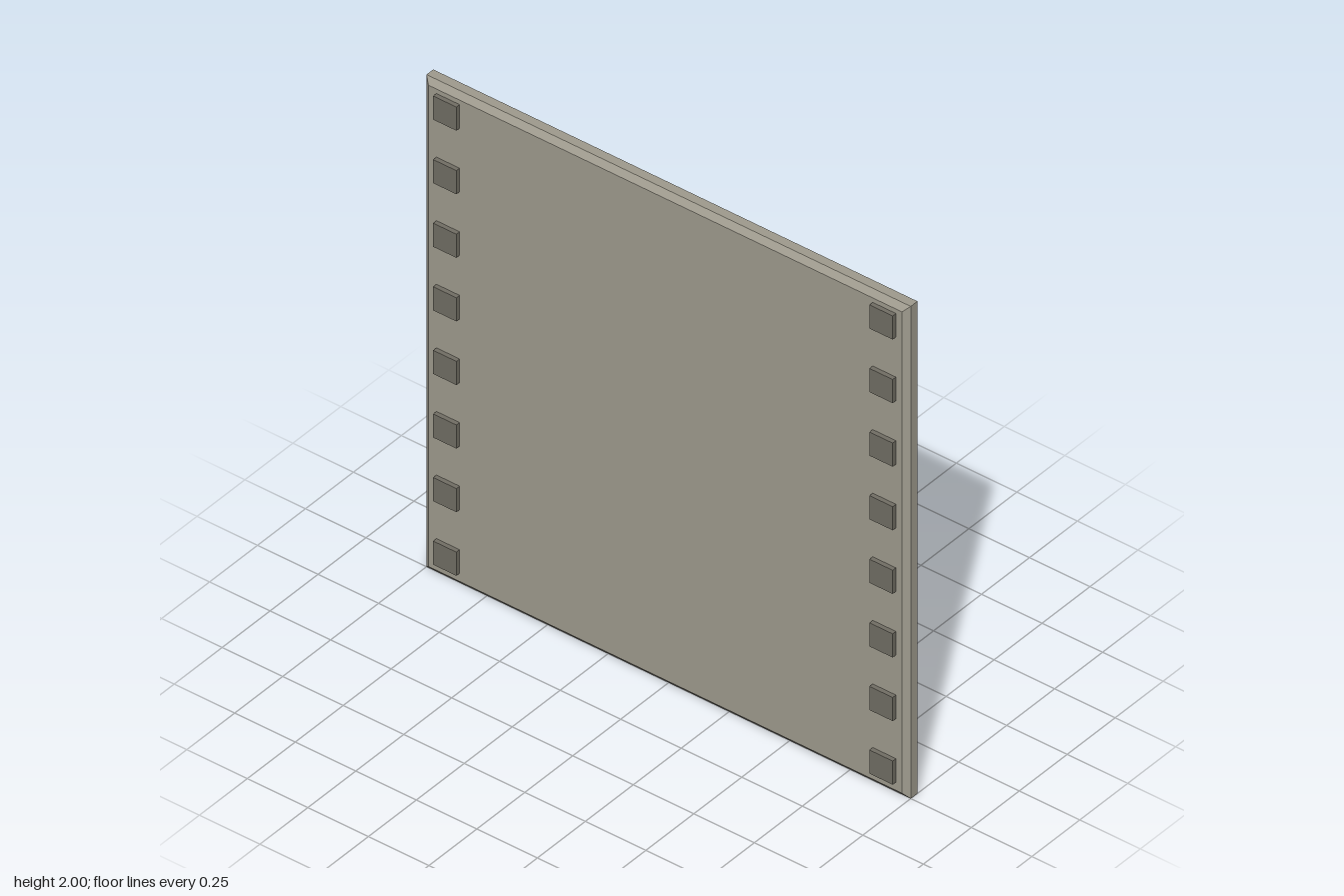
import * as THREE from 'three';

const panelMaterial = new THREE.MeshStandardMaterial({ color: 0x9f9b8e, side: THREE.DoubleSide, flatShading: true });
panelMaterial.name = 'warm grey';
const studMaterial = new THREE.MeshStandardMaterial({ color: 0x716e64, side: THREE.DoubleSide, flatShading: true });
studMaterial.name = 'dark grey';

// Square open-backed shell: the profile lists [half width, z] from the back edge to the front centre
function squareShell(profile) {
  const points = profile.map(([half, z]) => new THREE.Vector2(half * Math.SQRT2, z));
  const geometry = new THREE.LatheGeometry(points, 4, Math.PI / 4).rotateX(Math.PI / 2).toNonIndexed();
  geometry.computeVertexNormals();
  return geometry;
}

export function createModel() {
  const model = new THREE.Group();
  model.name = 'wallPanel';

  // Thin panel with bevelled front edges and a hollow back
  const panel = new THREE.Mesh(
    squareShell([[1, -0.035], [1, 0], [0.978, 0.018], [0, 0.018]]), panelMaterial);
  panel.name = 'panel';
  panel.position.y = 1;
  model.add(panel);

  // Two columns of hollow square studs passing through the panel
  const studGeometry = squareShell([[0.048, -0.035], [0.048, 0.035], [0, 0.035]]);
  for (const [name, x] of [['rightStud', -0.897], ['leftStud', 0.905]]) {
    for (let i = 0; i < 8; i++) {
      const stud = new THREE.Mesh(studGeometry, studMaterial);
      stud.name = name + (i + 1);
      stud.position.set(x, 0.103 + i * 0.2584, 0);
      model.add(stud);
    }
  }
  return model;
}
